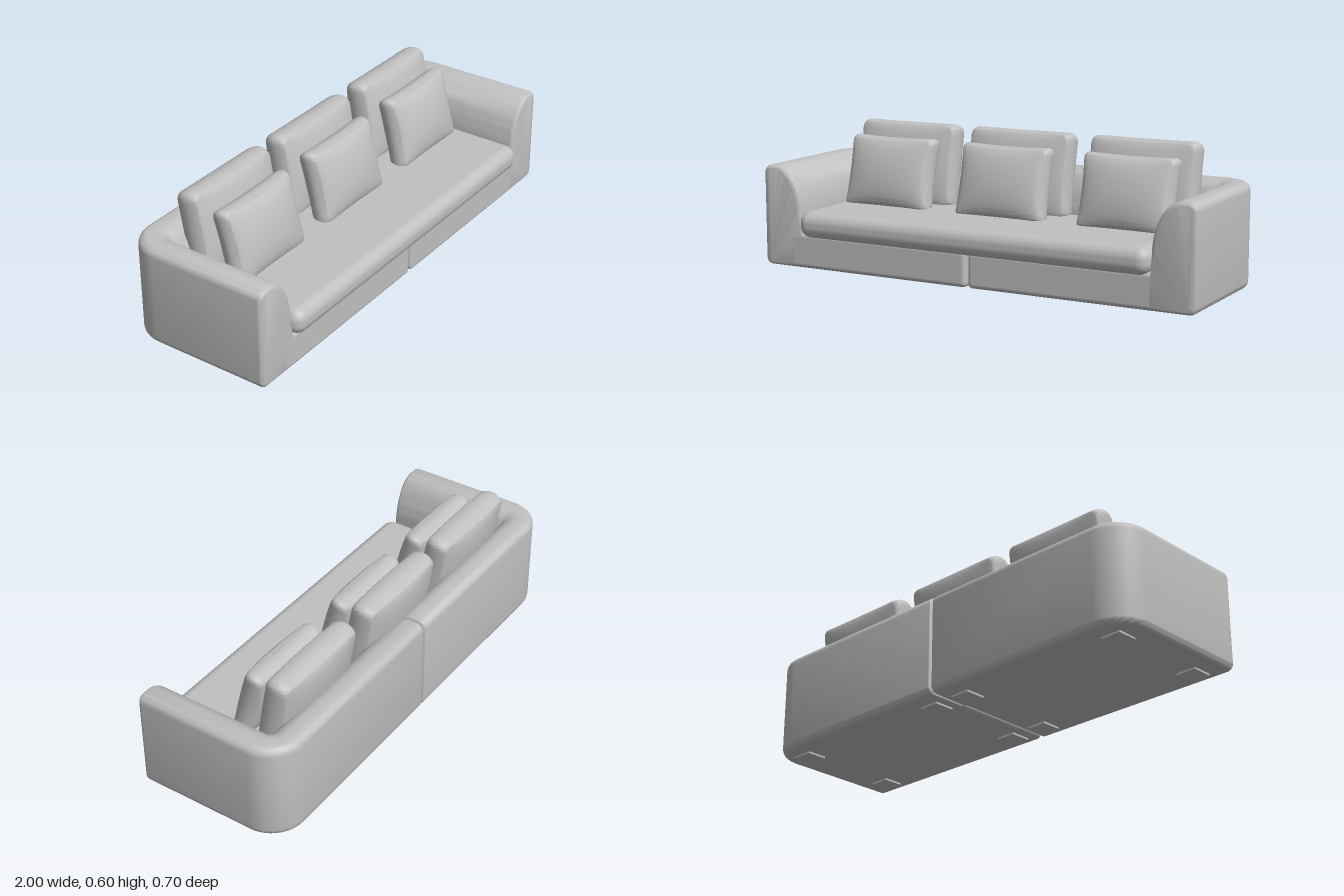
import * as THREE from 'three';
import { mergeVertices, toCreasedNormals } from 'three/addons/utils/BufferGeometryUtils.js';
import { RoundedBoxGeometry } from 'three/addons/geometries/RoundedBoxGeometry.js';

const fabric = new THREE.MeshStandardMaterial({ color: 0xc0c0c0 });
fabric.name = 'greyFabric';

function add(parent, name, geometry, x = 0, y = 0, z = 0) {
  const mesh = new THREE.Mesh(geometry, fabric);
  mesh.name = name;
  mesh.position.set(x, y, z);
  parent.add(mesh);
  return mesh;
}

// Rounded box given by its limits
function roundedBox(parent, name, [x0, x1], [y0, y1], [z0, z1], r) {
  const g = new RoundedBoxGeometry(x1 - x0, y1 - y0, z1 - z0, 5, r);
  return add(parent, name, g, (x0 + x1) / 2, (y0 + y1) / 2, (z0 + z1) / 2);
}

// Cross-section of arm and back: d = distance inward from the outer face, y = height
function shellProfile() {
  const pts = [];
  const arc = (cd, cy, rd, ry, from, to, n) => {
    for (let i = 0; i <= n; i++) {
      const a = THREE.MathUtils.degToRad(from + (to - from) * i / n);
      pts.push(new THREE.Vector2(cd - rd * Math.cos(a), cy + ry * Math.sin(a)));
    }
  };
  arc(0.03, 0.038, 0.03, 0.03, -90, 0, 5);
  arc(0.035, 0.407, 0.035, 0.035, 0, 90, 6);
  arc(0.065, 0.23, 0.125, 0.212, 90, 180, 14);
  pts.push(new THREE.Vector2(0.19, 0.15), new THREE.Vector2(0.19, 0.008));
  return pts;
}

// Half of the U-shaped shell: one arm, the rounded corner and half the back
function shellGeometry(side) {
  const profile = shellProfile(), n = profile.length;
  const R = 0.15, back = -0.35, front = 0.32, gap = 0.004;
  const normals = profile.map((p, j) => {
    if (j === n - 1) return new THREE.Vector2(0, -1);
    if (p.x > 0.189 && p.y < 0.2) return new THREE.Vector2(0, 0);
    const t = profile[(j + 1) % n].clone().sub(profile[(j + n - 1) % n]);
    return new THREE.Vector2(-t.y, t.x).normalize();
  });
  const rings = [];
  const ring = (inset, place) => rings.push(profile.map((p, j) => {
    const d = p.x - normals[j].x * inset, y = p.y - normals[j].y * inset;
    const [x, z] = place(d);
    return [side * x, y, z];
  }));
  const rounding = (r, i) => {
    const a = i / 5 * Math.PI / 2;
    return [r * (1 - Math.sin(a)), r * (1 - Math.cos(a))];
  };
  // rounded front end
  for (let i = 0; i <= 5; i++) {
    const [inset, depth] = rounding(0.02, i);
    ring(inset, d => [1 - d, front - depth]);
  }
  // outer corner, mitred on the inside
  for (let i = 0; i <= 14; i++) {
    const a = i / 14 * Math.PI / 2;
    ring(0, d => {
      const q = R - d;
      return q > 0
        ? [1 - R + q * Math.cos(a), back + R - q * Math.sin(a)]
        : [1 - d, back + d];
    });
  }
  // rounded end at the centre seam
  for (let i = 5; i >= 0; i--) {
    const [inset, depth] = rounding(0.01, i);
    ring(inset, d => [gap + depth, back + d]);
  }
  const positions = rings.flat(2), index = [];
  const tri = (a, b, c) => index.push(a, ...(side > 0 ? [b, c] : [c, b]));
  for (let i = 0; i < rings.length - 1; i++) {
    for (let j = 0; j < n; j++) {
      const k = (j + 1) % n, a = i * n, b = a + n;
      tri(a + j, b + j, a + k);
      tri(a + k, b + j, b + k);
    }
  }
  // end faces
  const last = (rings.length - 1) * n;
  for (let j = 1; j < n - 1; j++) {
    tri(0, j, j + 1);
    tri(last, last + j + 1, last + j);
  }
  const g = new THREE.BufferGeometry();
  g.setAttribute('position', new THREE.Float32BufferAttribute(positions, 3));
  g.setIndex(index);
  return toCreasedNormals(g, 0.7);
}

// Stuffed cushion: narrow gusset, rounded corners, domed faces, sides drawn in
function cushionGeometry(w, h, edge, thick, pinch, r) {
  const g = new THREE.BoxGeometry(2, 2, 2, 26, 26, 6);
  g.deleteAttribute('normal');
  g.deleteAttribute('uv');
  const p = g.attributes.position;
  for (let i = 0; i < p.count; i++) {
    const u = Math.sin(p.getX(i) * Math.PI / 2), v = Math.sin(p.getY(i) * Math.PI / 2);
    const t = p.getZ(i);
    let x = u * w / 2, y = v * h / 2;
    const a = (Math.abs(x) - w / 2 + r) / r, b = (Math.abs(y) - h / 2 + r) / r;
    if (a > 0 && b > 0) {
      x = Math.sign(x) * (w / 2 - r + r * a * Math.sqrt(1 - b * b / 2));
      y = Math.sign(y) * (h / 2 - r + r * b * Math.sqrt(1 - a * a / 2));
    }
    const dome = Math.pow(Math.max(0, (1 - u * u) * (1 - v * v)), 0.55);
    const puff = 0.012 * (1 - t * t) * Math.max(Math.abs(u), Math.abs(v)) ** 8;
    x *= 1 - pinch * (1 - v * v) * u * u + puff / (w / 2);
    y *= 1 - pinch * (1 - u * u) * v * v + puff / (h / 2);
    p.setXYZ(i, x, y, t * (edge + (thick - edge) * dome));
  }
  return toCreasedNormals(mergeVertices(g), 0.85);
}

export function createModel() {
  const sofa = new THREE.Group();
  sofa.name = 'sofa';

  // two mirrored body modules with a seam between them
  for (const side of [1, -1]) {
    const half = new THREE.Group();
    half.name = side > 0 ? 'leftModule' : 'rightModule';
    sofa.add(half);
    add(half, 'armAndBack', shellGeometry(side));
    const span = side > 0 ? [0.004, 0.87] : [-0.87, -0.004];
    roundedBox(half, 'seatBase', span, [0.008, 0.16], [-0.25, 0.32], 0.02);
    for (const x of [0.087, 0.867]) {
      for (const z of [0.225, -0.225]) {
        add(half, 'foot', new THREE.BoxGeometry(0.09, 0.012, 0.09), side * x, 0.006, z);
      }
    }
  }

  // one long seat cushion
  roundedBox(sofa, 'seatCushion', [-0.812, 0.812], [0.143, 0.257], [-0.2, 0.352], 0.05);

  // three pairs of leaning cushions
  const large = cushionGeometry(0.465, 0.345, 0.046, 0.078, 0.01, 0.03);
  const small = cushionGeometry(0.4, 0.3, 0.036, 0.076, 0.04, 0.025);
  for (const x of [-0.562, -0.008, 0.562]) {
    add(sofa, 'backCushion', large, x, 0.415, -0.167).rotation.x = -0.17;
    add(sofa, 'throwCushion', small, x - 0.002, 0.39, -0.022).rotation.x = -0.25;
  }
  return sofa;
}
